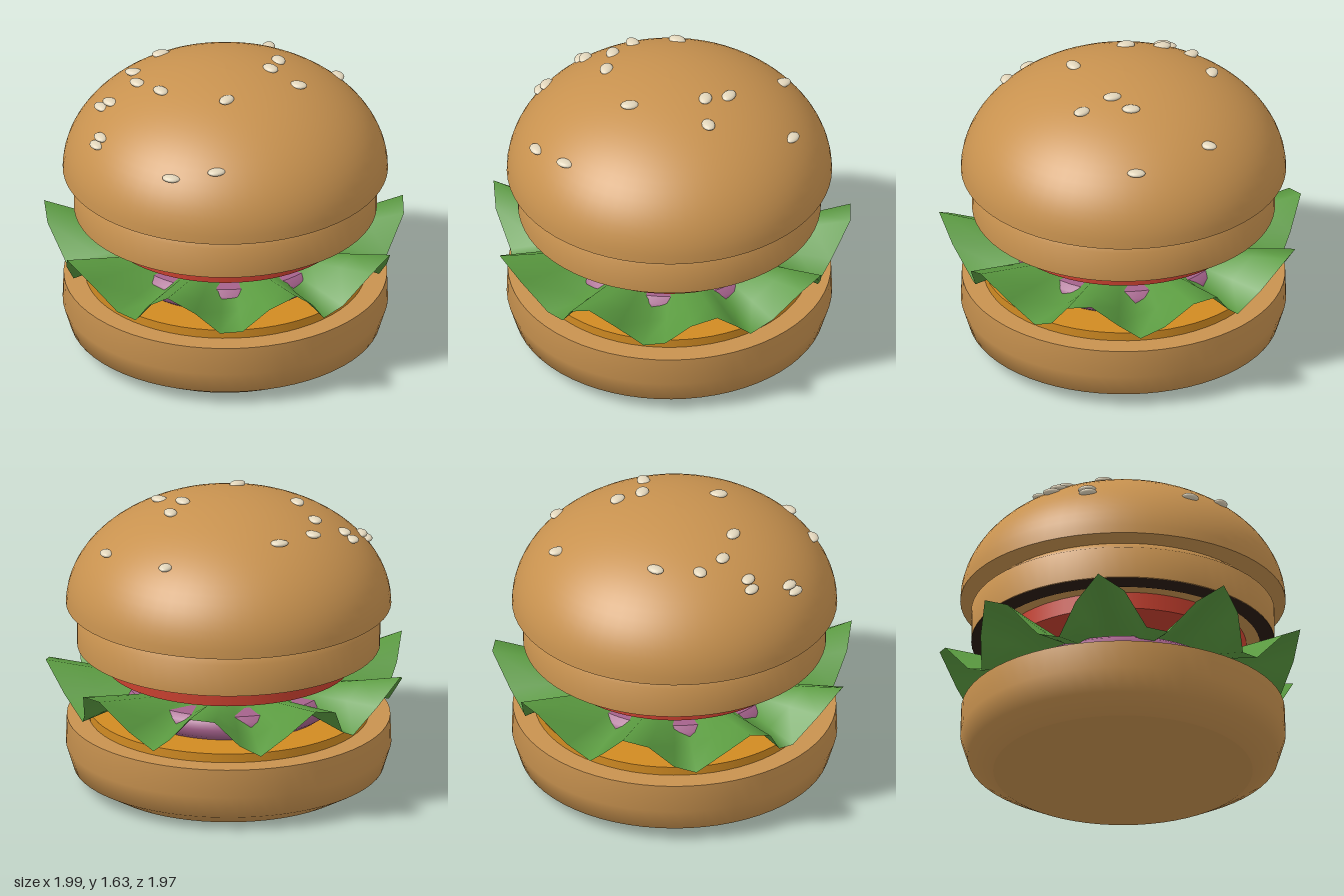
import * as THREE from 'three';
import { mergeVertices } from 'three/addons/utils/BufferGeometryUtils.js';

const BUN = 0xc8924f, PATTY = 0x2a1b14, TOMATO = 0xc8402f, LETTUCE = 0x5a9a40;
const ONION = 0xa5628c, CHEESE = 0xd08a22, SEED = 0xe2d6bc;

function part(name, geometry, color, side = THREE.FrontSide) {
  const mesh = new THREE.Mesh(geometry, new THREE.MeshStandardMaterial({ color, side }));
  mesh.name = name;
  return mesh;
}

// Turned shape from [radius, height] points, bottom to top; a repeated point makes a sharp edge
function turned(name, points, color) {
  const profile = points.map(([r, y]) => new THREE.Vector2(r, y));
  return part(name, new THREE.LatheGeometry(profile, 64), color);
}

function slice(name, radius, bottom, top, color) {
  const geometry = new THREE.CylinderGeometry(radius, radius, top - bottom, 64);
  geometry.translate(0, (bottom + top) / 2, 0);
  return part(name, geometry, color);
}

// Dome of the top bun
const DOME = { base: 1.02, radius: 0.89, height: 0.61 };
const domeHeight = r => DOME.base + DOME.height * Math.sqrt(Math.max(0, 1 - (r / DOME.radius) ** 2));

function topBun() {
  const points = [[0, DOME.base], [DOME.radius, DOME.base], [DOME.radius, DOME.base]];
  for (let i = 1; i <= 20; i++) {
    const a = (i / 20) * Math.PI / 2;
    points.push([DOME.radius * Math.cos(a), DOME.base + DOME.height * Math.sin(a)]);
  }
  return turned('topBun', points, BUN);
}

// Ruffled leaf: a ring whose nine waves grow towards the rim
function lettuce() {
  const inner = 0.35;
  let geometry = new THREE.RingGeometry(inner, 1, 44, 3);
  geometry.deleteAttribute('uv');
  geometry.deleteAttribute('normal');
  const pos = geometry.attributes.position;
  for (let i = 0; i < pos.count; i++) {
    const a = Math.atan2(pos.getY(i), pos.getX(i));
    const t = (Math.hypot(pos.getX(i), pos.getY(i)) - inner) / (1 - inner);
    const wave = Math.cos(9 * a);
    const r = inner + t * (0.93 + 0.08 * wave - inner);
    pos.setXYZ(i, r * Math.sin(a), 0.575 + 0.147 * wave * t, r * Math.cos(a));
  }
  geometry = mergeVertices(geometry);
  geometry.computeVertexNormals();
  return part('lettuce', geometry, LETTUCE, THREE.DoubleSide);
}

// Seeds lie flat on the dome: x, z, turn in degrees
function seeds(centreZ) {
  const group = new THREE.Group();
  group.name = 'seeds';
  const spots = [
    [0.03, -0.69, 100], [0.47, -0.56, -50], [0.22, -0.29, -50], [0.22, -0.15, -30],
    [0.40, -0.09, -5], [-0.45, -0.27, 35], [-0.53, -0.04, 0], [-0.46, 0.11, -30],
    [-0.29, 0.22, -35], [-0.63, 0.225, -40], [-0.58, 0.22, -30], [-0.555, 0.46, -50],
    [-0.57, 0.49, -50], [0.10, 0.25, 75], [-0.06, 0.735, 0], [0.18, 0.67, 35],
  ];
  const geometry = new THREE.SphereGeometry(1, 16, 10);
  for (const [x, z, turn] of spots) {
    const seed = part('seed', geometry, SEED);
    seed.scale.set(0.05, 0.018, 0.036);
    seed.rotation.y = THREE.MathUtils.degToRad(turn);
    seed.position.set(x, domeHeight(Math.hypot(x, z - centreZ)) + 0.004, z - centreZ);
    group.add(seed);
  }
  return group;
}

export function createModel() {
  const burger = new THREE.Group();
  burger.name = 'burger';
  const centreZ = -0.03;
  burger.position.z = centreZ;

  burger.add(
    turned('bottomBun', [
      [0, 0], [0.71, 0], [0.71, 0], [0.85, 0.08], [0.89, 0.21],
      [0.885, 0.37], [0.885, 0.37], [0, 0.37],
    ], BUN),
    slice('cheese', 0.767, 0.365, 0.42, CHEESE),
    turned('onion', [
      [0, 0.42], [0.55, 0.42], [0.55, 0.42], [0.585, 0.445], [0.6, 0.49],
      [0.585, 0.53], [0.55, 0.555], [0.55, 0.555], [0, 0.555],
    ], ONION),
    lettuce(),
    slice('tomato', 0.675, 0.665, 0.762, TOMATO),
    // Dark rim peeping out under the middle bun
    turned('pattyRim', [[0.75, 0.76], [0.83, 0.78]], PATTY),
    turned('middleBun', [
      [0, 0.76], [0.75, 0.76], [0.75, 0.76], [0.829, 0.781], [0.829, 0.781],
      [0.83, 0.96], [0.75, 1.02], [0.75, 1.02], [0, 1.02],
    ], BUN),
    topBun(),
    seeds(centreZ),
  );
  // The rim sits just proud of the bevel behind it
  burger.getObjectByName('pattyRim').position.y = -0.003;

  const model = new THREE.Group();
  model.add(burger);
  return model;
}
